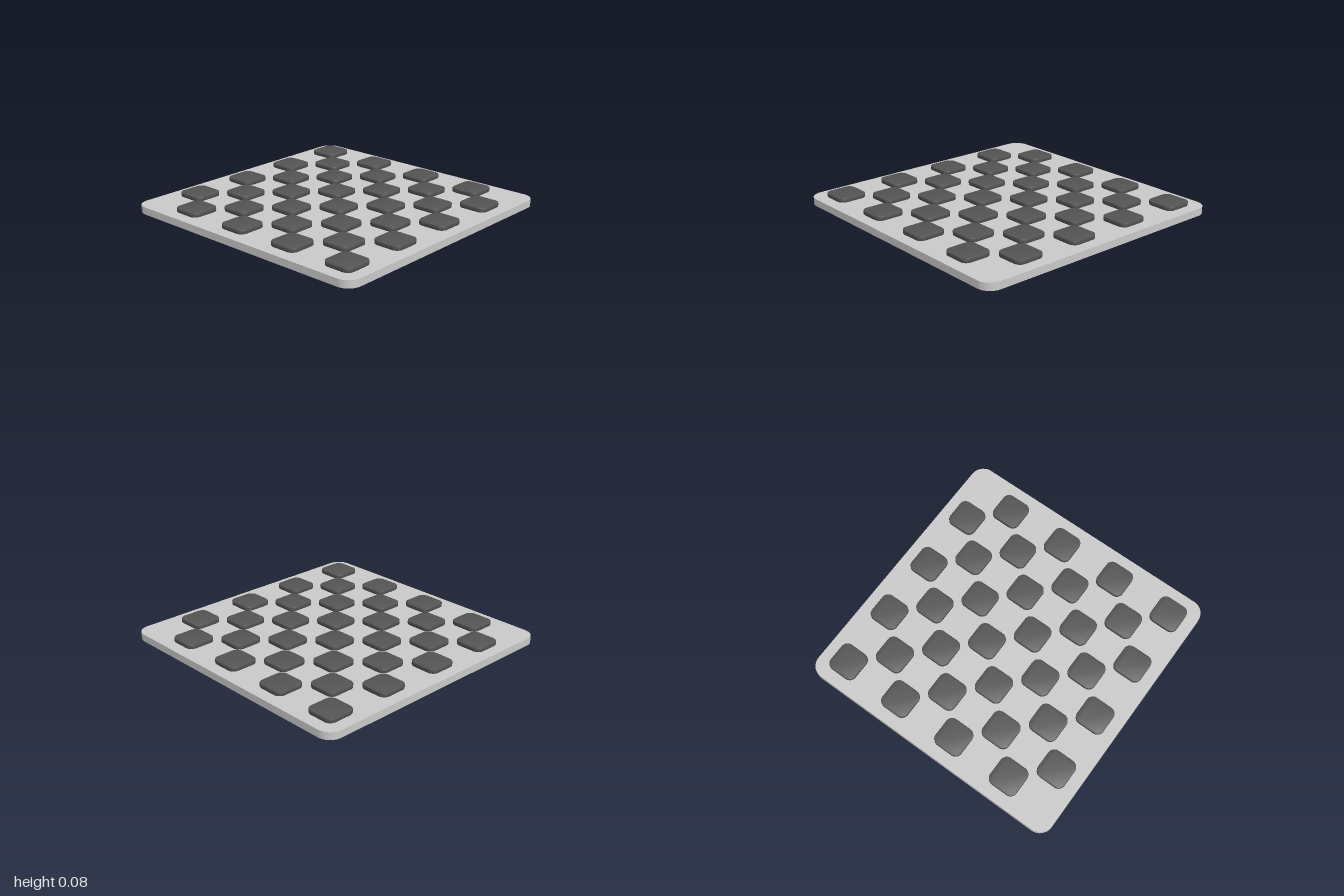
import * as THREE from 'three';
import { toCreasedNormals } from 'three/addons/utils/BufferGeometryUtils.js';

// Flat slab with rounded corners, lying on y = 0
function roundedSlab(size, radius, height, bevel) {
  const h = size / 2, c = h - radius;
  const shape = new THREE.Shape();
  shape.absarc(c, c, radius, 0, Math.PI / 2);
  shape.absarc(-c, c, radius, Math.PI / 2, Math.PI);
  shape.absarc(-c, -c, radius, Math.PI, Math.PI * 1.5);
  shape.absarc(c, -c, radius, Math.PI * 1.5, Math.PI * 2);
  shape.closePath();
  const geometry = new THREE.ExtrudeGeometry(shape, {
    depth: height - 2 * bevel,
    curveSegments: 10,
    bevelEnabled: bevel > 0,
    bevelThickness: bevel,
    bevelSize: bevel,
    bevelOffset: -bevel,
    bevelSegments: 2,
  });
  geometry.translate(0, 0, bevel);
  geometry.rotateX(-Math.PI / 2);
  return toCreasedNormals(geometry, 0.6);
}

export function createModel() {
  const model = new THREE.Group();
  model.name = 'checkerboard';
  const boardHeight = 0.053, pitch = 0.23;

  // Base board
  const board = new THREE.Mesh(
    roundedSlab(2, 0.1, boardHeight, 0),
    new THREE.MeshStandardMaterial({ color: 0xcccccc })
  );
  board.name = 'board';
  model.add(board);

  // Raised dark squares on alternate cells
  const squares = new THREE.Group();
  squares.name = 'darkSquares';
  const squareGeometry = roundedSlab(0.218, 0.05, 0.032, 0.005);
  const squareMaterial = new THREE.MeshStandardMaterial({ color: 0x555555 });
  for (let row = 0; row < 8; row++) {
    for (let col = row % 2; col < 8; col += 2) {
      const square = new THREE.Mesh(squareGeometry, squareMaterial);
      square.name = `darkSquare_${row}_${col}`;
      square.position.set((col - 3.5) * pitch, boardHeight - 0.001, (row - 3.5) * pitch);
      squares.add(square);
    }
  }
  model.add(squares);
  return model;
}
